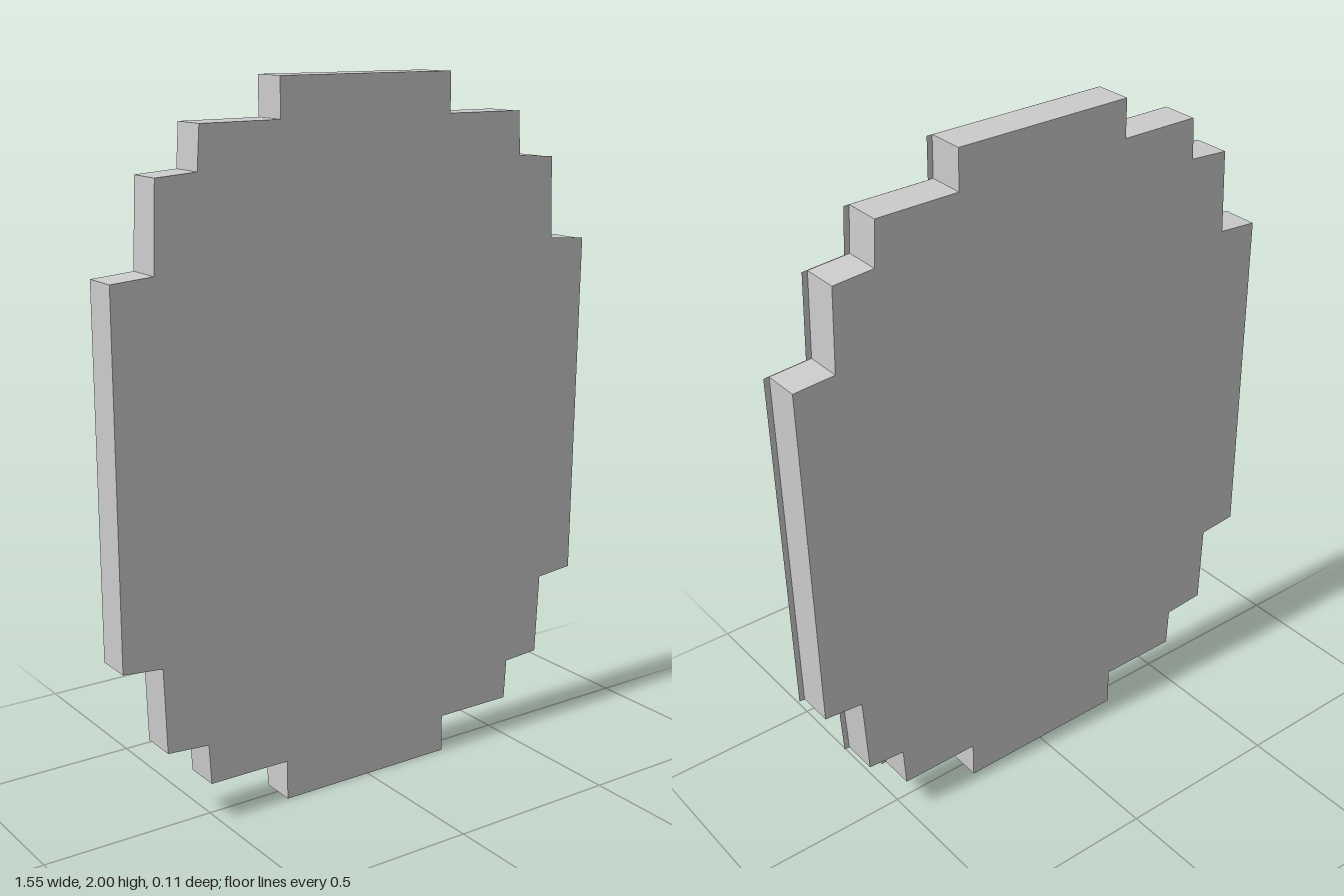
import * as THREE from 'three';

// Stepped outline, running down the +x side and back up the -x side
const RIGHT = [
  [0.273, 2], [0.274, 1.887], [0.519, 1.886], [0.526, 1.761], [0.646, 1.752], [0.654, 1.517], [0.775, 1.508],
  [0.763, 0.487], [0.646, 0.476], [0.634, 0.237], [0.521, 0.229], [0.514, 0.11], [0.273, 0.11], [0.273, 0],
];
const LEFT = [
  [-0.277, 0], [-0.277, 0.115], [-0.522, 0.116], [-0.528, 0.232], [-0.653, 0.241], [-0.66, 0.485], [-0.777, 0.496],
  [-0.773, 1.514], [-0.651, 1.523], [-0.641, 1.764], [-0.521, 1.772], [-0.513, 1.89], [-0.275, 1.891], [-0.275, 2],
];
const DEPTH = 0.106;

// Outline with its +x side drawn in by a given amount
function outline(inset) {
  const points = [...RIGHT.map(([x, y]) => [x - inset, y]), ...LEFT];
  return new THREE.Shape(points.map(([x, y]) => new THREE.Vector2(x, y)));
}

export function createModel() {
  const model = new THREE.Group();
  model.name = 'steppedPanel';
  const material = new THREE.MeshStandardMaterial({ color: 0xcccccc, side: THREE.DoubleSide, flatShading: true });

  // Solid slab, slightly narrower on the +x side
  const slab = new THREE.Mesh(
    new THREE.ExtrudeGeometry(outline(0.016), { depth: DEPTH, bevelEnabled: false }), material);
  slab.name = 'slab';
  slab.position.z = -DEPTH / 2;

  // Thin front sheet that overhangs the slab on the +x side
  const sheet = new THREE.Mesh(new THREE.ShapeGeometry(outline(0)), material);
  sheet.name = 'frontSheet';
  sheet.position.z = DEPTH / 2 + 0.0003;

  model.add(slab, sheet);
  return model;
}
